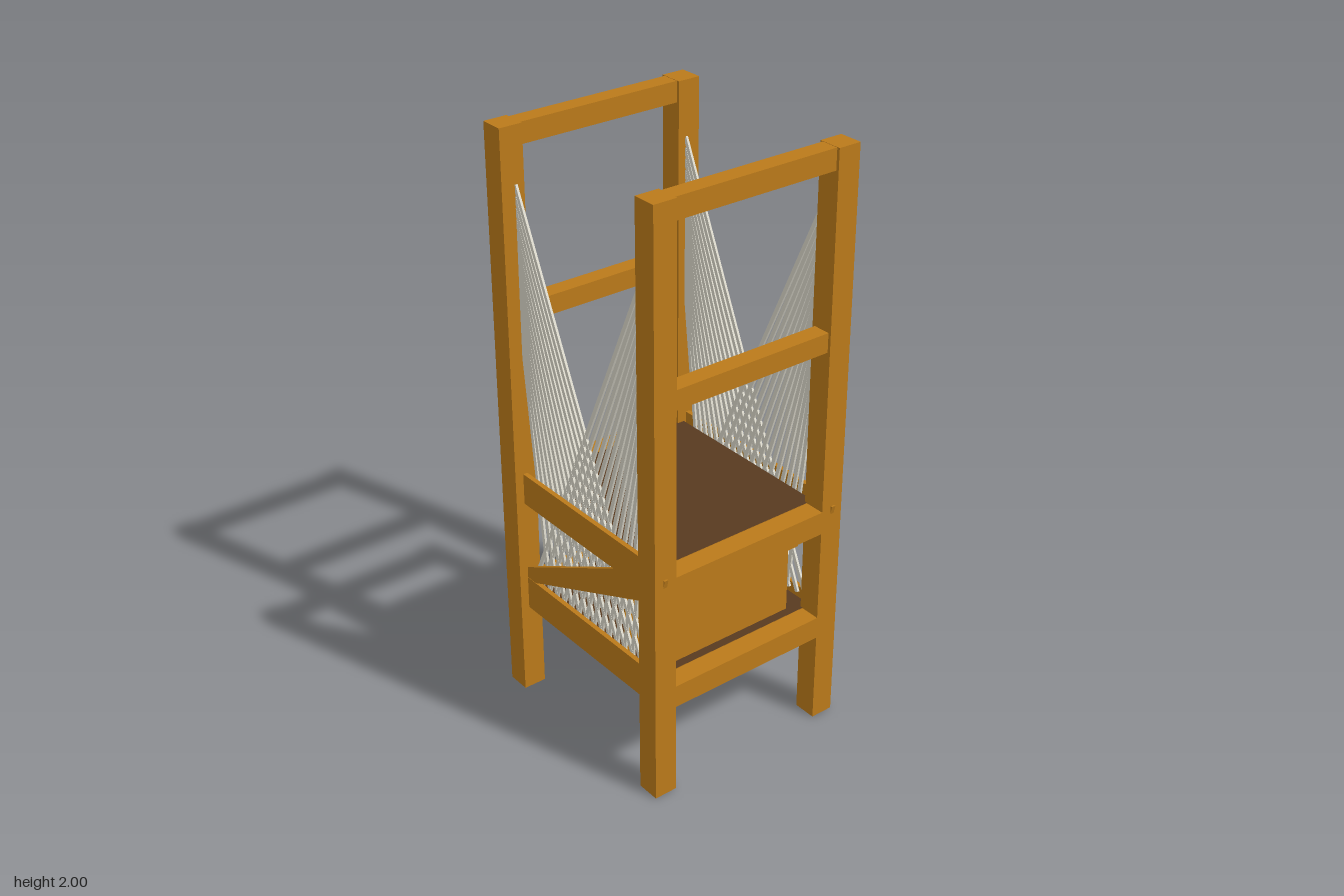
import * as THREE from 'three';

export function createModel() {
  const model = new THREE.Group();
  const material = (name, color) => {
    const m = new THREE.MeshStandardMaterial({ color });
    m.name = name;
    return m;
  };
  const wood = material('golden wood', 0xbb7a1a);
  const floorBrown = material('floor brown', 0x583a20);
  const cord = material('pale cord', 0xdcd9cc);

  // Box given by its limits on each axis
  const block = (name, mat, x0, x1, y0, y1, z0, z1) => {
    const mesh = new THREE.Mesh(new THREE.BoxGeometry(x1 - x0, y1 - y0, z1 - z0), mat);
    mesh.position.set((x0 + x1) / 2, (y0 + y1) / 2, (z0 + z1) / 2);
    mesh.name = name;
    model.add(mesh);
  };

  // Corner posts
  for (const x of [-0.36, 0.36])
    for (const z of [-0.33, 0.33])
      block('cornerPost', wood, x - 0.04, x + 0.04, 0, 2, z - 0.04, z + 0.04);

  // Side rails: two high, two framing the lower opening
  for (const s of [-1, 1]) {
    const rail = (name, y0, y1, outer) =>
      block(name, wood, Math.min(s * 0.33, s * outer), Math.max(s * 0.33, s * outer), y0, y1, -0.29, 0.29);
    rail('topSideRail', 1.93, 1.999, 0.39);
    rail('middleSideRail', 1.355, 1.42, 0.39);
    rail('upperSideRail', 0.72, 0.8, 0.4);
    rail('lowerSideRail', 0.322, 0.4, 0.4);
  }

  // Floors: brown on top, wood elsewhere
  const floorMaterials = [wood, wood, floorBrown, wood, wood, wood];
  block('upperFloor', floorMaterials, -0.33, 0.33, 0.785, 0.802, -0.315, 0.315);
  block('lowerFloor', floorMaterials, -0.33, 0.33, 0.325, 0.402, -0.32, 0.32);

  // Storage box with lid, and the partition behind it
  block('storageBox', wood, 0.18, 0.3, 0.4, 0.635, -0.245, 0.245);
  block('storageBoxLid', wood, 0.172, 0.31, 0.635, 0.665, -0.277, 0.277);
  block('partition', wood, 0.165, 0.171, 0.4, 0.785, -0.31, 0.31);

  // Slanted brace outline
  const braceShape = new THREE.Shape([
    [-0.407, 0.435], [-0.36, 0.405], [0.385, 0.718], [0.407, 0.81], [0.32, 0.808],
  ].map(([x, y]) => new THREE.Vector2(x, y)));
  const braceGeometry = new THREE.ExtrudeGeometry(braceShape, { depth: 0.014, bevelEnabled: false });

  // Taut flat cord between two points
  const up = new THREE.Vector3(0, 1, 0);
  const addCord = (from, to, parent) => {
    const direction = to.clone().sub(from);
    const mesh = new THREE.Mesh(new THREE.BoxGeometry(0.014, direction.length(), 0.008), cord);
    mesh.position.copy(from).add(to).multiplyScalar(0.5);
    mesh.quaternion.setFromUnitVectors(up, direction.normalize().negate());
    mesh.name = 'cord';
    parent.add(mesh);
  };

  // Front and back: boards, brace and two crossing fans of cords
  for (const z of [-0.332, 0.332]) {
    block('upperBoard', wood, -0.32, 0.32, 0.725, 0.835, z - 0.008, z + 0.008);
    block('lowerBoard', wood, -0.32, 0.32, 0.322, 0.44, z - 0.008, z + 0.008);
    const brace = new THREE.Mesh(braceGeometry, wood);
    brace.position.z = z - 0.007;
    brace.name = 'slantedBrace';
    model.add(brace);

    const fans = new THREE.Group();
    fans.name = 'cordFans';
    model.add(fans);
    const count = 14;
    for (const s of [-1, 1]) {
      const cordZ = Math.sign(z) * (0.3195 + s * 0.0005);
      for (let i = 0; i < count; i++) {
        const foot = 0.31 - (0.53 * i) / (count - 1);
        addCord(
          new THREE.Vector3(-s * 0.323, 1.815 - (0.48 * i) / (count - 1), cordZ),
          new THREE.Vector3(s * foot, 0.42, cordZ),
          fans,
        );
      }
    }
  }
  return model;
}
